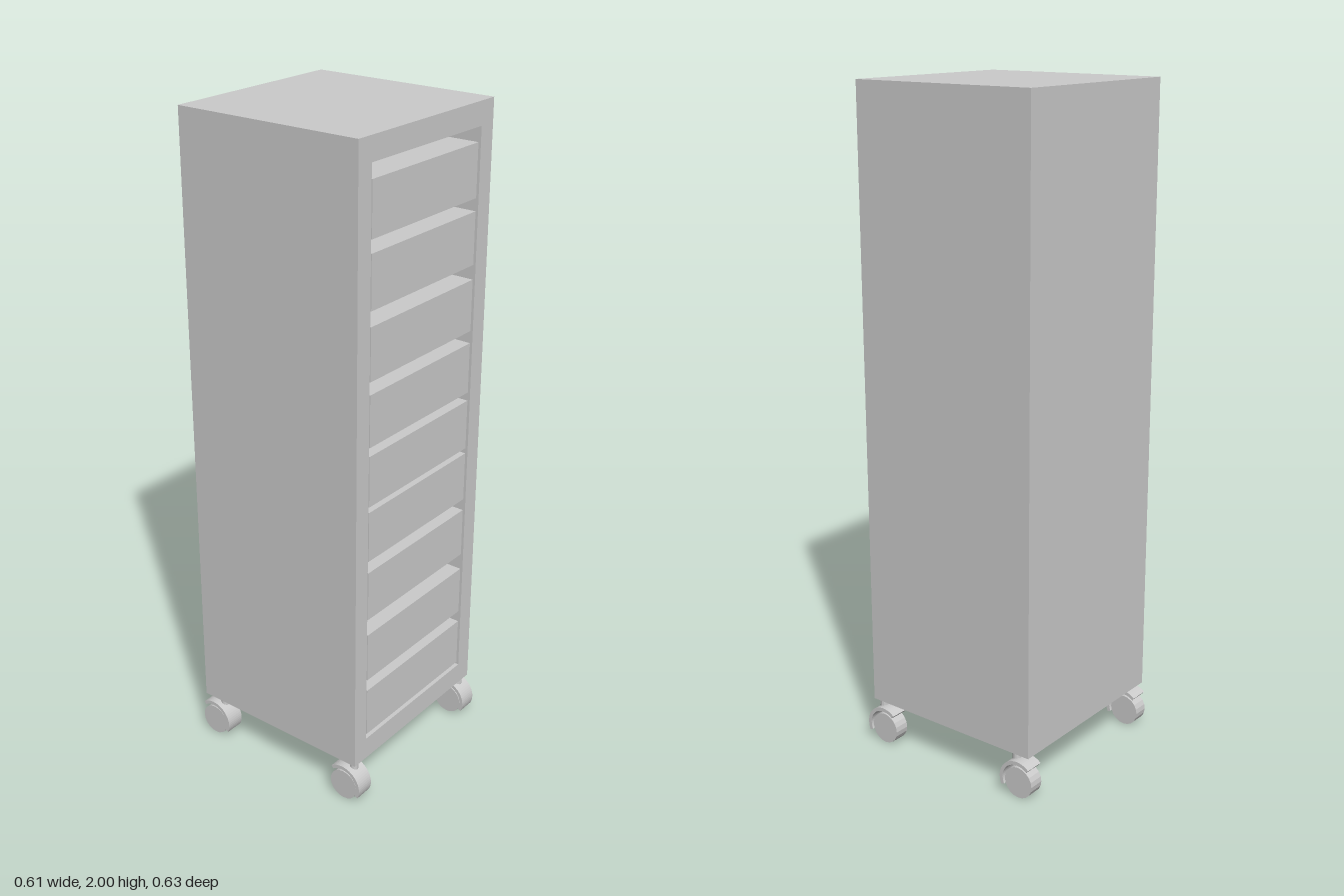
import * as THREE from 'three';

const grey = new THREE.MeshStandardMaterial({ color: 0xcccccc, flatShading: true });

function add(parent, name, geometry, x = 0, y = 0, z = 0) {
  const mesh = new THREE.Mesh(geometry, grey);
  mesh.name = name;
  mesh.position.set(x, y, z);
  parent.add(mesh);
  return mesh;
}

function rectangle(Type, x0, y0, x1, y1) {
  return new Type([[x0, y0], [x1, y0], [x1, y1], [x0, y1]].map(p => new THREE.Vector2(...p)));
}

// Curved hood: an arc band in the side plane, extruded across the wheel
function hoodGeometry(width) {
  const start = THREE.MathUtils.degToRad(-26), end = THREE.MathUtils.degToRad(130);
  const band = new THREE.Shape();
  band.absarc(0, 0, 0.063, start, end, false);
  band.absarc(0, 0, 0.052, end, start, true);
  const geometry = new THREE.ExtrudeGeometry(band, { depth: width, bevelEnabled: false, curveSegments: 12 });
  geometry.translate(0, 0, -width / 2);
  geometry.rotateY(-Math.PI / 2); // shape x becomes +z
  return geometry;
}

// Caster with its origin on the floor below the wheel centre
function makeCaster() {
  const caster = new THREE.Group();
  caster.name = 'caster';
  const wheel = new THREE.CylinderGeometry(0.048, 0.048, 0.048, 20);
  wheel.rotateZ(Math.PI / 2);
  add(caster, 'wheel', wheel, 0, 0.048, 0);
  add(caster, 'hood', hoodGeometry(0.059), 0, 0.054, 0);
  add(caster, 'hoodBracket', new THREE.BoxGeometry(0.02, 0.045, 0.02), 0, 0.085, 0.012);
  add(caster, 'stem', new THREE.CylinderGeometry(0.013, 0.013, 0.035, 12), 0, 0.12, 0.022);
  return caster;
}

export function createModel() {
  const model = new THREE.Group();
  model.name = 'drawerCabinet';

  // Cabinet shell: front frame and walls around one tall opening
  const outline = rectangle(THREE.Shape, -0.301, 0.135, 0.296, 2);
  outline.holes.push(rectangle(THREE.Path, -0.247, 0.205, 0.24, 1.932));
  const shell = new THREE.ExtrudeGeometry(outline, { depth: 0.576, bevelEnabled: false });
  add(model, 'cabinetShell', shell, 0, 0, -0.281);
  add(model, 'backPanel', new THREE.BoxGeometry(0.597, 1.865, 0.02), -0.0025, 1.0675, -0.291);

  // Drawers, unevenly spaced, nearly flush with the frame
  const bottoms = [0.217, 0.408, 0.614, 0.805, 0.976, 1.156, 1.347, 1.544, 1.735];
  const drawers = new THREE.Group();
  drawers.name = 'drawers';
  model.add(drawers);
  for (const y of bottoms) {
    add(drawers, 'drawer', new THREE.BoxGeometry(0.472, 0.154, 0.573), -0.0035, y + 0.077, 0.0055);
  }

  // Casters at the four corners, all turned the same way
  for (const x of [-0.2755, 0.2745]) {
    for (const z of [0.251, -0.267]) {
      const caster = makeCaster();
      caster.position.set(x, 0, z);
      model.add(caster);
    }
  }
  return model;
}
